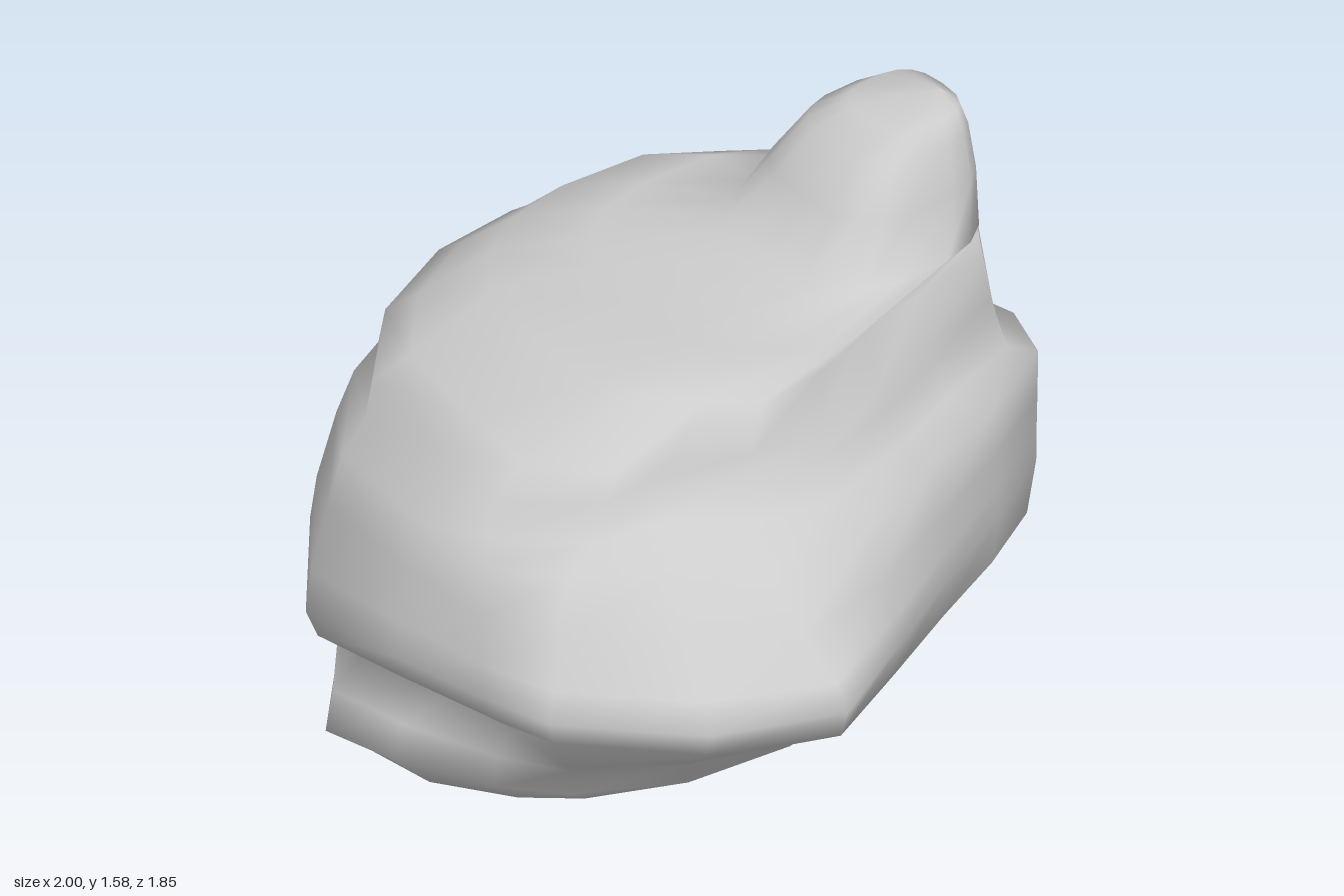
import * as THREE from 'three';

const N = 18;

// Plan outlines as x, z pairs, running from the front round by +x to the back.
const foot = [-.34, .84, -.1, .82, .2, .74, .38, .64, .57, .42, .64, .15, .6, -.1, .52, -.35, .42, -.58,
  .3, -.72, .15, -.77, -.08, -.66, -.24, -.48, -.38, -.28, -.52, -.08, -.66, .08, -.72, .3, -.62, .57];
const groove = [-.3, .72, 0, .71, .25, .72, .47, .74, .67, .5, .74, .2, .66, -.08, .58, -.35, .46, -.62,
  .33, -.8, .18, -.85, -.08, -.76, -.3, -.68, -.54, -.44, -.66, -.14, -.68, .05, -.68, .3, -.58, .56];
const belly = [-.32, .92, 0, .9, .3, .87, .53, .83, .85, .58, 1, .26, .83, -.05, .66, -.35, .52, -.62,
  .37, -.86, .22, -.93, -.05, -.87, -.36, -.9, -.75, -.65, -1, -.42, -.92, -.1, -.82, .25, -.67, .62];
const ledge = [-.35, .78, 0, .82, .25, .82, .43, .7, .56, .47, .74, .28, .74, 0, .64, -.3, .52, -.6,
  .39, -.85, .22, -.91, -.05, -.85, -.34, -.87, -.66, -.62, -.79, -.38, -.83, -.1, -.77, .2, -.62, .52];
const shoulder = [-.4, .64, -.05, .7, .2, .75, .39, .54, .39, .37, .52, .2, .58, 0, .52, -.25, .43, -.48,
  .36, -.74, .22, -.81, -.05, -.74, -.3, -.67, -.6, -.54, -.72, -.38, -.76, -.1, -.74, .15, -.62, .42];
const crown = [-.3, .32, -.05, .37, .15, .38, .28, .32, .4, .22, .5, .12, .48, -.08, .4, -.28, .37, -.48,
  .34, -.71, .21, -.8, -.05, -.73, -.22, -.64, -.42, -.5, -.53, -.34, -.55, -.1, -.52, .08, -.44, .22];
const spire = [];
for (let i = 0; i < N; i++) {
  const a = (i - 1) / N * Math.PI * 2;
  const square = v => Math.sign(v) * Math.abs(v) ** 0.7;
  spire.push(.07 + .28 * square(Math.sin(a)), -.54 + .27 * square(Math.cos(a)));
}
const outlines = [foot, groove, belly, ledge, shoulder, crown, spire];

// Layers: height, position between outlines, scale, tilt along x, tilt along z.
const layers = [
  [.1, 0, 0, .2, -.12],
  [.1, 0, .5, .2, -.12],
  [.11, 0, .87, .2, -.12],
  [.19, 0, 1, .12, -.08],
  [.26, .15, 1, .08, -.04],
  [.33, 1, 1, .06, 0],
  [.39, 1.93, .98, .1, .05],
  [.51, 2, 1, .08, 0],
  [.61, 2.15, 1, .05, 0],
  [.75, 2.6, 1, -.02, 0],
  [.88, 3, 1, 0, 0],
  [.92, 3.75, 1, 0, 0],
  [1.02, 4, 1, 0, 0],
  [1.07, 4.3, 1, 0, 0],
  [1.2, 4.95, 1, 0, 0],
  [1.225, 5.4, 1, 0, 0],
  [1.245, 5.95, 1, 0, 0],
  [1.4, 6, .85, 0, 0],
  [1.52, 6, .66, 0, 0],
  [1.565, 6, .46, 0, 0],
  [1.575, 6, 0, 0, 0],
];

function ring([y, f, s, tiltX, tiltZ]) {
  const k = Math.min(Math.floor(f), outlines.length - 2), t = f - k;
  const cx = f >= 6 ? .13 : 0, cz = f >= 6 ? -.75 : 0; // spire keeps a steep back wall
  const points = [];
  for (let i = 0; i < N; i++) {
    const mix = c => THREE.MathUtils.lerp(outlines[k][2 * i + c], outlines[k + 1][2 * i + c], t);
    const x = cx + (mix(0) - cx) * s, z = cz + (mix(1) - cz) * s;
    points.push(x, Math.max(0, y + tiltX * x + tiltZ * z), z);
  }
  return points;
}

export function createModel() {
  const group = new THREE.Group();
  group.name = 'rock';

  // Boulder body lofted through the layers, with the spire growing from its top
  const index = [];
  for (let j = 0; j < layers.length - 1; j++) {
    for (let i = 0; i < N; i++) {
      const a = j * N + i, b = j * N + (i + 1) % N;
      index.push(a, b, b + N, a, b + N, a + N);
    }
  }
  const geometry = new THREE.BufferGeometry();
  geometry.setAttribute('position', new THREE.Float32BufferAttribute(layers.flatMap(ring), 3));
  geometry.setIndex(index);
  geometry.computeVertexNormals();

  const boulder = new THREE.Mesh(geometry,
    new THREE.MeshStandardMaterial({ color: 0xcccccc, side: THREE.DoubleSide }));
  boulder.name = 'boulder';
  group.add(boulder);
  return group;
}
